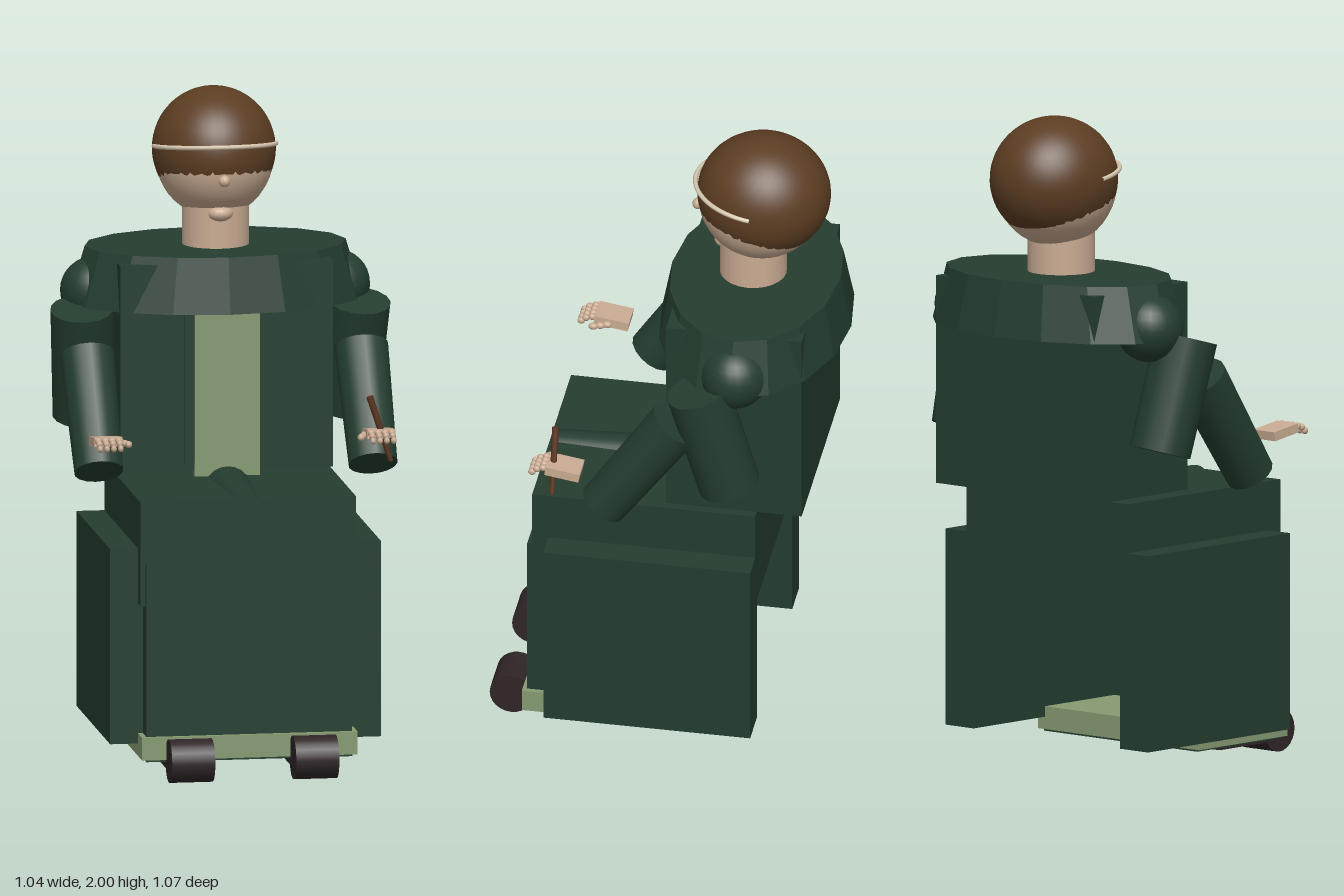
import * as THREE from 'three';

const mat = (name, color) => {
  const m = new THREE.MeshStandardMaterial({ color });
  m.name = name;
  return m;
};

export function createModel() {
  const root = new THREE.Group();
  const green = mat('dark green cloth', 0x243d2f);
  const pale = mat('pale green trim', 0x869a72);
  const skin = mat('skin', 0xc9ab92);
  const hairBrown = mat('hair brown', 0x5c3d22);
  const shoe = mat('shoe leather', 0x2f2527);
  const wood = mat('pen wood', 0x5a3420);
  const cream = mat('cream band', 0xd6c6ae);

  const add = (name, geo, material, parent = root) => {
    const m = new THREE.Mesh(geo, material);
    m.name = name;
    parent.add(m);
    return m;
  };
  // Box given by its limits on each axis
  const box = (name, material, [x0, x1], [y0, y1], [z0, z1], parent) => {
    const m = add(name, new THREE.BoxGeometry(x1 - x0, y1 - y0, z1 - z0), material, parent);
    m.position.set((x0 + x1) / 2, (y0 + y1) / 2, (z0 + z1) / 2);
    return m;
  };
  const ball = (name, material, pos, [rx, ry, rz], parent, seg = 24) => {
    const m = add(name, new THREE.SphereGeometry(1, seg, Math.round(seg * 0.67)), material, parent);
    m.scale.set(rx, ry, rz);
    m.position.set(...pos);
    return m;
  };
  // Tapered cylinder from point a to point b
  const limb = (name, material, a, b, ra, rb, parent, seg = 16) => {
    const p = new THREE.Vector3(...a), q = new THREE.Vector3(...b);
    const d = p.clone().sub(q);
    const m = add(name, new THREE.CylinderGeometry(ra, rb, d.length(), seg), material, parent);
    m.position.copy(p).add(q).multiplyScalar(0.5);
    m.quaternion.setFromUnitVectors(new THREE.Vector3(0, 1, 0), d.normalize());
    return m;
  };

  // Seated lower body
  box('lap', green, [-0.33, 0.33], [0.53, 0.85], [-0.295, 0.39]);
  box('frontPanel', green, [-0.315, 0.315], [0.12, 0.66], [0.335, 0.408]);
  limb('lapFold', green, [0, 0.805, -0.02], [0, 0.802, 0.375], 0.075, 0.06, root, 20);
  box('hemTrim', pale, [-0.33, 0.33], [0.062, 0.132], [0.025, 0.422]);
  box('hemUnderside', green, [-0.315, 0.315], [0.055, 0.064], [0.035, 0.412]);

  // Torso with shirt strip and coat edges
  box('torso', green, [-0.325, 0.325], [0.865, 1.5], [-0.437, -0.02]);
  box('shirtPanel', pale, [-0.1, 0.1], [0.85, 1.45], [-0.03, -0.003]);

  // Shoulder cape, a flattened sixteen-sided cone
  const cape = add('cape', new THREE.CylinderGeometry(0.4, 0.45, 0.17, 16).toNonIndexed(), green);
  cape.geometry.computeVertexNormals();
  cape.scale.z = 0.647;
  cape.position.set(0, 1.44, -0.24);

  // Head and neck
  limb('neck', skin, [0, 1.66, -0.23], [0, 1.5, -0.23], 0.102, 0.102, root, 24);
  ball('face', skin, [0, 1.793, -0.255], [0.18, 0.19, 0.192], root, 32);
  ball('nose', skin, [0, 1.745, -0.06], [0.018, 0.018, 0.018], root, 12);
  ball('mouth', skin, [0, 1.632, -0.145], [0.04, 0.026, 0.035], root, 16);

  const hairGeo = new THREE.SphereGeometry(1, 40, 28, 0, Math.PI * 2, 0, 2.25);
  hairGeo.rotateX(-0.44);
  const hair = add('hair', hairGeo, hairBrown);
  hairBrown.side = THREE.DoubleSide;
  hair.scale.set(0.187, 0.19, 0.203);
  hair.position.set(0, 1.81, -0.263);

  // Thin band across the brow
  const bandGeo = new THREE.TorusGeometry(0.186, 0.007, 8, 32, Math.PI);
  bandGeo.rotateX(Math.PI / 2);
  const band = add('browBand', bandGeo, cream);
  band.scale.z = 1.06;
  band.rotation.x = -0.13;
  band.position.set(0, 1.824, -0.25);

  for (const s of [-1, 1]) {
    const side = new THREE.Group();
    side.name = s > 0 ? 'leftSide' : 'rightSide';
    root.add(side);
    const span = (a, b) => (s > 0 ? [a, b] : [-b, -a]);

    box('sidePanel', green, span(0.3, 0.415), [0.1, 0.7], [-0.295, 0.34], side);
    box('coatEdge', green, span(0.1, 0.13), [0.89, 1.45], [-0.03, -0.012], side);

    // Shoe: rounded toe and flat sole
    limb('shoeToe', shoe, [s * 0.19 - 0.066, 0.067, 0.468], [s * 0.19 + 0.066, 0.067, 0.468], 0.066, 0.066, side, 24);
    box('shoeSole', shoe, span(0.124, 0.256), [0.035, 0.1], [0.2, 0.468], side);

    // Arm
    ball('shoulder', green, [s * 0.37, 1.388, -0.24], [0.104, 0.104, 0.104], side);
    limb('upperArm', green, [s * 0.425, 1.352, -0.135], [s * 0.405, 1.01, -0.23], 0.096, 0.094, side);
    limb('forearm', green, [s * 0.42, 1.225, -0.07], [s * 0.42, 0.905, 0.155], 0.083, 0.075, side);

    // Hand with four curled fingers and a thumb
    const hand = new THREE.Group();
    hand.name = 'hand';
    hand.position.set(s * 0.418, 1.02, 0.275);
    side.add(hand);
    const palm = box('palm', skin, [-0.043, 0.043], [-0.014, 0.014], [-0.053, 0.053], hand);
    palm.rotation.x = -0.15;
    for (let f = 0; f < 4; f++) {
      const x = -0.032 + f * 0.021;
      [[0.012, 0.06], [0.006, 0.079], [-0.006, 0.094]].forEach(([y, z], i) =>
        ball('finger', skin, [x, y, z], [0.011 - i * 0.001, 0.011, 0.012], hand, 10));
    }
    for (let i = 0; i < 3; i++)
      ball('thumb', skin, [-s * (0.046 + i * 0.008), -0.002, 0.012 + i * 0.02], [0.011, 0.011, 0.015], hand, 10);
  }

  // Pen held in the left hand
  limb('pen', wood, [0.385, 1.14, 0.308], [0.45, 0.94, 0.308], 0.011, 0.008, root, 10);

  return root;
}
